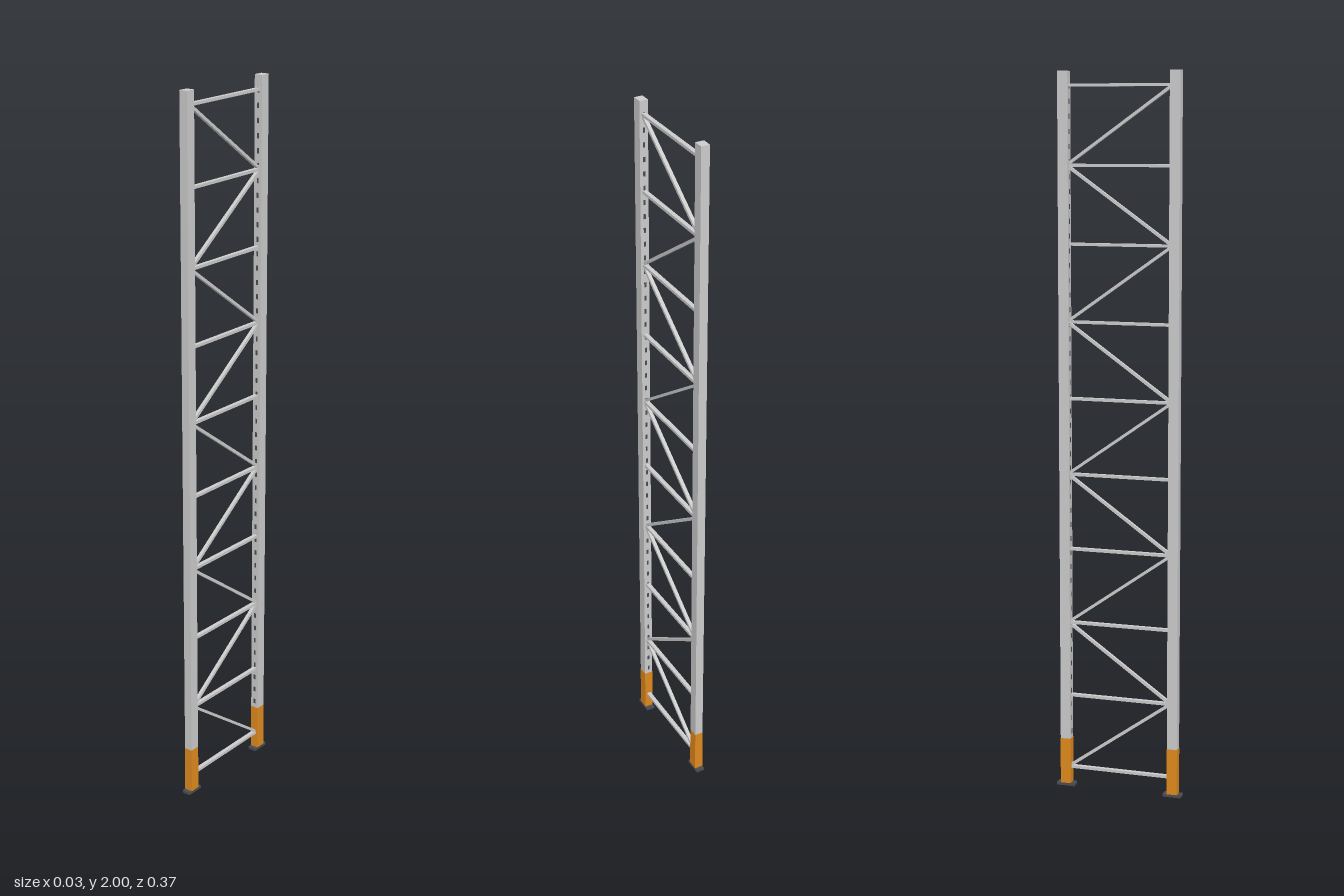
import * as THREE from 'three';

const grey = new THREE.MeshStandardMaterial({ color: 0xcccccc });
const orange = new THREE.MeshStandardMaterial({ color: 0xe08a1e });
const dark = new THREE.MeshStandardMaterial({ color: 0x4a4d50 });

const POST_Z = 0.157, POST_W = 0.024, POST_D = 0.029;
const INNER_Z = POST_Z - POST_D / 2;
const PLATE_H = 0.008;

function box(name, parent, material, size, position) {
  const mesh = new THREE.Mesh(new THREE.BoxGeometry(...size), material);
  mesh.name = name;
  mesh.position.set(...position);
  parent.add(mesh);
  return mesh;
}

// Upright with foot plate, painted guard and a column of slots on its inner face
function makeUpright(name, side) {
  const group = new THREE.Group();
  group.name = name;
  const z = side * POST_Z;
  box('footPlate', group, dark, [0.025, PLATE_H, 0.052], [0, PLATE_H / 2, z]);
  box('post', group, grey, [POST_W, 2 - PLATE_H, POST_D], [0, 1 + PLATE_H / 2, z]);
  box('footGuard', group, orange, [POST_W + 0.0008, 0.132, POST_D + 0.0008],
    [0, PLATE_H + 0.066, z]);
  for (let y = 0.16; y < 1.99; y += 0.04) {
    box('slot', group, dark, [0.006, 0.014, 0.001], [0, y, side * INNER_Z]);
  }
  return group;
}

export function createModel() {
  const model = new THREE.Group();
  model.name = 'rackUprightFrame';
  model.add(makeUpright('frontUpright', 1), makeUpright('backUpright', -1));

  // Ten evenly spaced horizontals, joined by a zigzag of diagonals
  const count = 10, bottom = 0.056, step = 0.2118;
  for (let i = 0; i < count; i++) {
    const y = bottom + i * step;
    box('horizontalBrace', model, grey, [0.012, 0.008, 2 * INNER_Z], [0, y, 0]);
    if (i === count - 1) continue;
    const side = i % 2 === 0 ? -1 : 1;
    const dz = -side * 2 * INNER_Z, dy = step - 0.01;
    const brace = box('diagonalBrace', model, grey,
      [0.01, 0.008, Math.hypot(dz, dy) - 0.004], [0, y + step / 2, 0]);
    brace.rotation.x = -Math.atan2(dy, dz);
  }
  return model;
}
